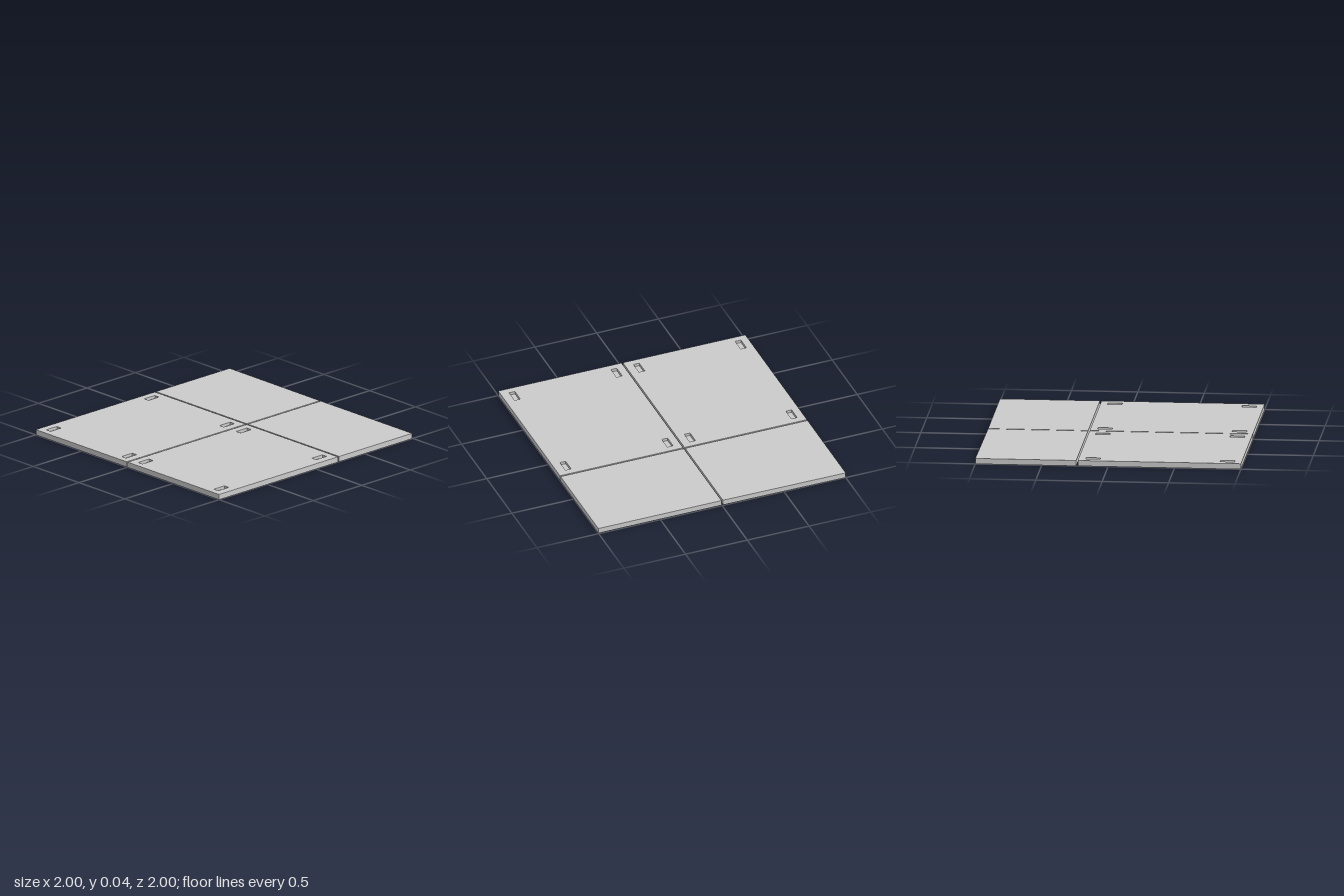
import * as THREE from 'three';

const HEIGHT = 0.042;   // slab thickness
const FLOOR = 0.02;     // thickness left under each pocket
const material = new THREE.MeshStandardMaterial({ color: 0xcccccc, flatShading: true });

// Closed outline from [x, z] corners; shape y is -z so the extrusion can be laid flat
function outline(corners, Type = THREE.Shape) {
  const path = new Type(corners.map(([x, z]) => new THREE.Vector2(x, -z)));
  path.closePath();
  return path;
}

const rect = (x0, x1, z0, z1) => [[x0, z1], [x1, z1], [x1, z0], [x0, z0]];

// Flat slab with rectangular pockets sunk into its top face
function slab(name, corners, pockets = []) {
  const group = new THREE.Group();
  group.name = name;

  const shape = outline(corners);
  shape.holes = pockets.map((p) => outline(rect(...p).reverse(), THREE.Path));
  const geometry = new THREE.ExtrudeGeometry(shape, { depth: HEIGHT, bevelEnabled: false });
  geometry.rotateX(-Math.PI / 2);
  const plate = new THREE.Mesh(geometry, material);
  plate.name = name + 'Plate';
  group.add(plate);

  // Pocket floors close the openings from below
  for (const [x0, x1, z0, z1] of pockets) {
    const floor = new THREE.Mesh(new THREE.BoxGeometry(x1 - x0, FLOOR, z1 - z0), material);
    floor.position.set((x0 + x1) / 2, FLOOR / 2, (z0 + z1) / 2);
    floor.name = 'pocketFloor';
    group.add(floor);
  }
  return group;
}

export function createModel() {
  const model = new THREE.Group();
  model.name = 'pavingSlabs';

  const columns = [[-0.947, -0.837], [0.064, 0.174]];
  const pocketsAt = (rows) =>
    rows.flatMap(([z0, z1]) => columns.map(([x0, x1]) => [x0, x1, z0, z1]));

  // Wide slabs with a pocket near every corner
  model.add(slab('backWideSlab', rect(-1, 0.228, -1, -0.009),
    pocketsAt([[-0.943, -0.896], [-0.12, -0.073]])));
  model.add(slab('frontWideSlab', rect(-1, 0.228, 0.003, 1),
    pocketsAt([[0.062, 0.109], [0.887, 0.934]])));

  // Plain narrow slabs; the back one has a slightly skewed outer edge
  model.add(slab('backNarrowSlab', [[0.24, -0.009], [0.993, -0.009], [1, -1], [0.24, -1]]));
  model.add(slab('frontNarrowSlab', rect(0.24, 0.993, 0.003, 1)));

  return model;
}
